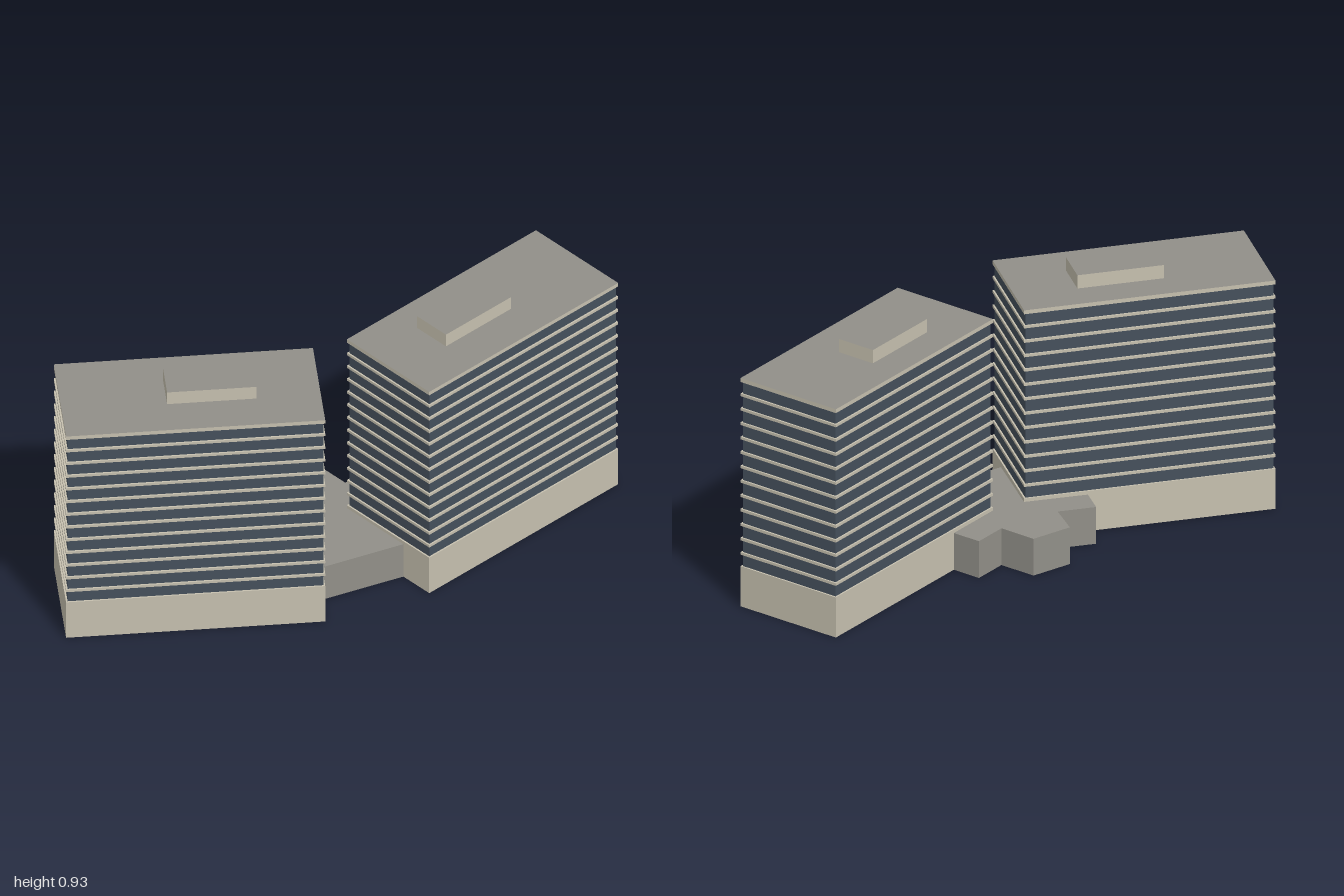
import * as THREE from 'three';

const mat = (name, color) => {
  const m = new THREE.MeshStandardMaterial({ color });
  m.name = name;
  return m;
};

export function createModel() {
  const concrete = mat('concrete', 0xc6c0af);
  const glass = mat('glass', 0x45505c);
  const roofGrey = mat('roofGrey', 0x918f88);
  // concrete sides with a grey top face
  const capped = [concrete, concrete, roofGrey, concrete, concrete, concrete];

  const W = 0.907, D = 0.416, inset = 0.006;

  function block(parent, name, w, d, y0, y1, material, x = 0, z = 0) {
    const mesh = new THREE.Mesh(new THREE.BoxGeometry(w, y1 - y0, d), material);
    mesh.name = name;
    mesh.position.set(x, (y0 + y1) / 2, z);
    parent.add(mesh);
  }

  // Tower: base, glazed body, floor bands, roof slab, rooftop plant room
  function tower(name, x, z, angle, plantX, plantZ) {
    const g = new THREE.Group();
    g.name = name;
    block(g, 'base', W, D, 0, 0.155, concrete);
    block(g, 'glazing', W - 2 * inset, D - 2 * inset, 0.155, 0.867, glass);
    for (let i = 0; i < 12; i++) {
      const y = 0.2045 + i * 0.0557;
      block(g, 'floorBand', W, D, y - 0.005, y + 0.005, concrete);
    }
    block(g, 'roofSlab', W, D, 0.867, 0.882, capped);
    block(g, 'plantRoom', 0.313, 0.147, 0.882, 0.933, capped, plantX, plantZ);
    g.position.set(x, 0, z);
    g.rotation.y = angle;
    return g;
  }

  const model = new THREE.Group();
  model.name = 'officeComplex';
  model.add(tower('leftTower', 0.5475, 0.2975, 0, -0.075, -0.015));
  model.add(tower('rightTower', -0.5125, -0.0675, -0.656, 0.072, -0.014));

  // Low link building between the towers, outline as x, z
  const outline = [
    [-0.2, 0.277], [0.095, 0.375], [0.095, 0.09], [0.32, 0.09], [0.32, -0.02],
    [0.19, -0.02], [0.19, -0.16], [0.04, -0.205], [-0.035, -0.095],
    [-0.145, -0.18], [-0.207, -0.097], [-0.026, 0.045],
  ];
  const shape = new THREE.Shape(outline.map(([x, z]) => new THREE.Vector2(x, -z)));
  const geo = new THREE.ExtrudeGeometry(shape, { depth: 0.142, bevelEnabled: false });
  geo.rotateX(-Math.PI / 2);
  const link = new THREE.Mesh(geo, roofGrey);
  link.name = 'linkBuilding';
  model.add(link);

  return model;
}
